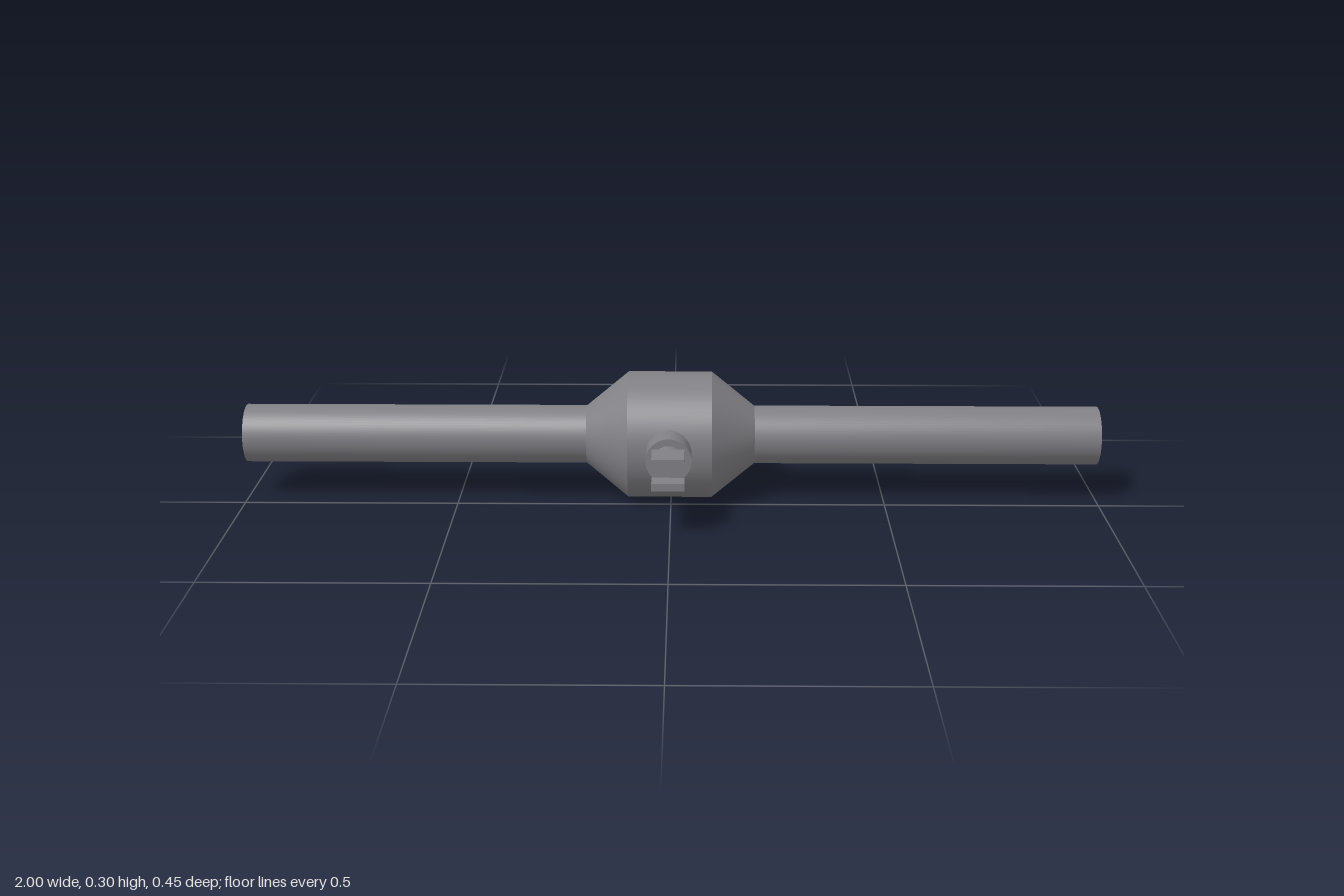
import * as THREE from 'three';

export function createModel() {
  const group = new THREE.Group();
  const grey = new THREE.MeshStandardMaterial({ color: 0x808085 });
  grey.name = 'grey';
  const Y = 0.15, Z = -0.077, R = 0.068, X = -0.004;

  const add = (name, geometry, x, y, z) => {
    const mesh = new THREE.Mesh(geometry, grey);
    mesh.name = name;
    mesh.position.set(x, y, z);
    group.add(mesh);
  };
  // cylinder or cone lying along x, r0 at x0 and r1 at x1
  const alongX = (name, r0, r1, x0, x1, open) => {
    const g = new THREE.CylinderGeometry(r1, r0, x1 - x0, 64, 1, open).rotateZ(-Math.PI / 2);
    add(name, g, (x0 + x1) / 2, Y, Z);
  };
  // cylinder along z for the front mount
  const alongZ = (name, r, z0, z1) => {
    const g = new THREE.CylinderGeometry(r, r, z1 - z0, 40).rotateX(Math.PI / 2);
    add(name, g, X, Y, (z0 + z1) / 2);
  };

  // central drum with tapered shoulders
  alongX('drum', 0.148, 0.148, -0.1, 0.095, true);
  alongX('shoulderRight', R, 0.148, -0.198, -0.1, true);
  alongX('shoulderLeft', 0.148, R, 0.095, 0.195, true);

  // right arm has a crisp end, left arm a softly shaded one
  alongX('armRight', R, R, -1, -0.198, false);
  const profile = [[R, 0.19], [R, 1], [0, 1]].map(([r, h]) => new THREE.Vector2(r, h));
  add('armLeft', new THREE.LatheGeometry(profile, 64).rotateZ(-Math.PI / 2), 0, Y, Z);

  // front mount: boss and neck
  alongZ('boss', 0.0525, 0.03, 0.128);
  alongZ('neck', 0.0365, 0.12, 0.155);

  // fork: base block and two prongs
  add('forkBase', new THREE.BoxGeometry(0.074, 0.074, 0.032), X, Y, 0.169);
  for (const s of [-1, 1]) {
    add(s > 0 ? 'forkProngTop' : 'forkProngBottom',
      new THREE.BoxGeometry(0.074, 0.018, 0.043), X, Y + s * 0.028, 0.2055);
  }
  return group;
}
